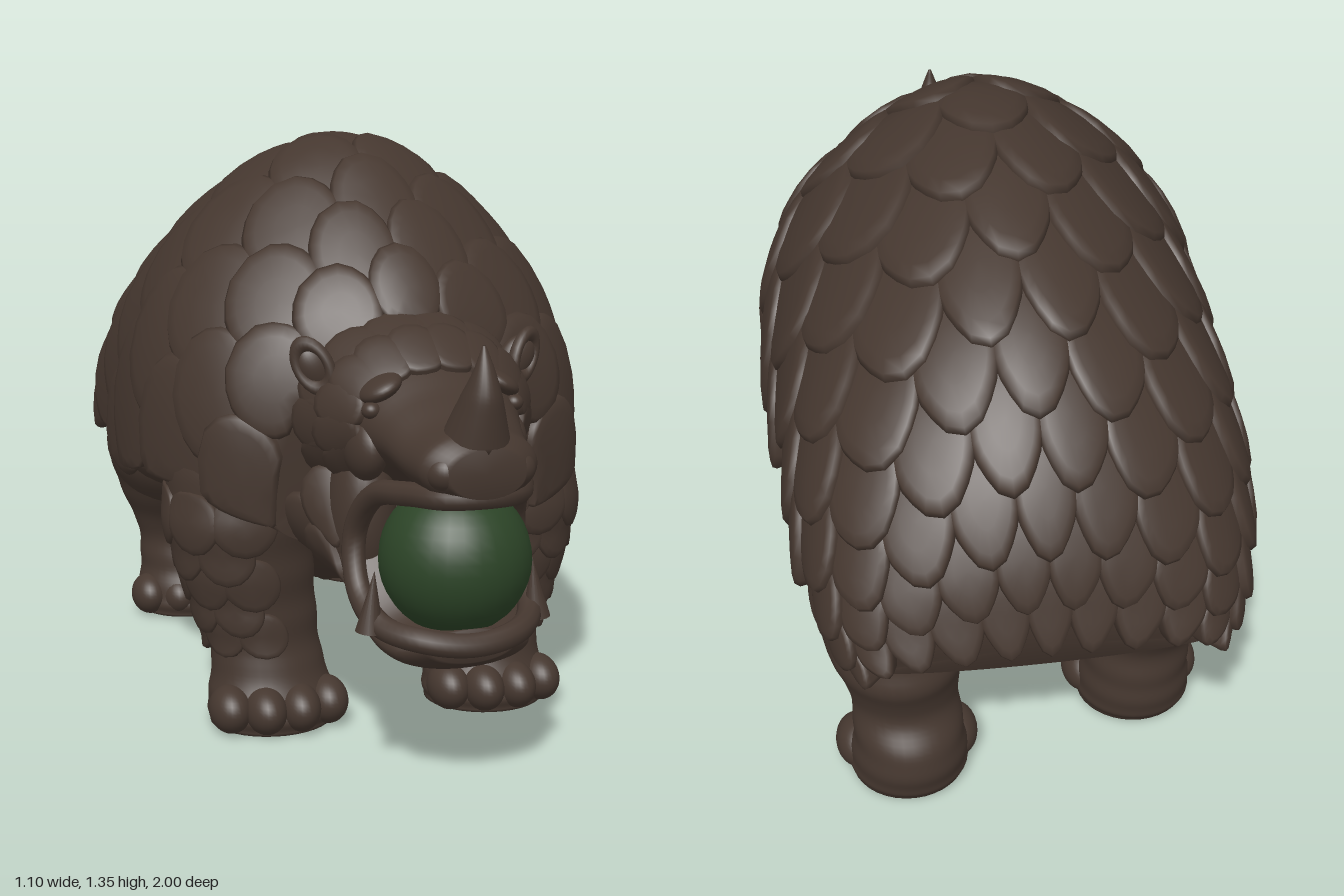
import * as THREE from 'three';
import { mergeGeometries, mergeVertices } from 'three/addons/utils/BufferGeometryUtils.js';

const V = (x, y, z) => new THREE.Vector3(x, y, z);
const spline = (pts) => new THREE.CatmullRomCurve3(pts);

// Smooth grid from a point function; closed seams are welded
function grid(fn, nu, nv) {
  const pos = [], idx = [];
  for (let i = 0; i <= nu; i++)
    for (let j = 0; j <= nv; j++) pos.push(...fn(i, j).toArray());
  for (let i = 0; i < nu; i++)
    for (let j = 0; j < nv; j++) {
      const a = i * (nv + 1) + j, c = a + nv + 1;
      idx.push(a, a + 1, c, a + 1, c + 1, c);
    }
  let g = new THREE.BufferGeometry();
  g.setAttribute('position', new THREE.Float32BufferAttribute(pos, 3));
  g.setIndex(idx);
  g = mergeVertices(g, 1e-5);
  g.computeVertexNormals();
  return g;
}

// Surface through elliptical sections [x, y, z, rx, r2]; axis 'y' runs down, axis 'z' runs forward
function loft(secs, axis, ripple = 0) {
  const c = spline(secs.map((s) => V(s[0], s[1], s[2])));
  const r = spline(secs.map((s) => V(s[3], s[4], 0)));
  return (u, v) => {
    const t = THREE.MathUtils.clamp(u, 0, 1), a = v * Math.PI * 2;
    const k = 1 + ripple * Math.sin(t * 50), p = c.getPoint(t), q = r.getPoint(t);
    const x = Math.cos(a) * q.x * k, o = Math.sin(a) * q.y * k;
    return axis === 'y' ? p.add(V(x, 0, o)) : p.add(V(x, o, 0));
  };
}

// Skin of a surface with both ends closed
function skin(surf, nu, nv, v0 = 0, v1 = 1) {
  const mid = (u) => surf(u, v0).add(surf(u, (v0 + v1) / 2)).multiplyScalar(0.5);
  return grid((i, j) => {
    if (i === 0) return mid(0);
    if (i === nu + 2) return mid(1);
    return surf((i - 1) / nu, v0 + ((v1 - v0) * j) / nv);
  }, nu + 2, nv);
}

// One raised overlapping scale on a surface, tip toward +u
function scale(surf, u, v, du, dv, lift, tip = 0.15) {
  const radii = [0, 0.4, 0.72, 0.9, 0.98, 1], edge = [1, 1, 0.98, 0.9, 0.65, 0], e = 0.008;
  return grid((i, j) => {
    const th = (j / 20) * Math.PI * 2, r = radii[i], c = Math.cos(th), s = Math.sin(th);
    const along = r * (c + tip * Math.max(0, c) ** 8);
    const across = r * Math.sign(s) * Math.abs(s) ** 0.75;
    const pu = u + du * along, pv = v + dv * across, p = surf(pu, pv);
    const n = surf(pu, pv + e).sub(surf(pu, pv - e))
      .cross(surf(pu + e, pv).sub(surf(pu - e, pv))).normalize();
    const h = i === 5 ? -0.012 : lift * edge[i] * (0.3 + 0.7 * (along + 1) / 2);
    return p.addScaledVector(n, h);
  }, 5, 20);
}

export function createModel() {
  const hide = new THREE.MeshStandardMaterial({ color: 0x45372f, side: THREE.DoubleSide });
  hide.name = 'brownHide';
  const green = new THREE.MeshStandardMaterial({ color: 0x2c4427 });
  green.name = 'greenBall';
  const model = new THREE.Group();
  model.name = 'armouredBeast';
  const add = (name, geo, mat = hide) => {
    const m = new THREE.Mesh(geo, mat);
    m.name = name;
    model.add(m);
    return m;
  };
  const blob = (name, x, y, z, rx, ry, rz, mat) => {
    const m = add(name, new THREE.SphereGeometry(1, 28, 20), mat);
    m.position.set(x, y, z);
    m.scale.set(rx, ry, rz);
    return m;
  };

  // Back: arches given by [half width, top y, top z, under depth, base y, base z]
  const arches = [
    [0.3, 0.96, 0.535, 0.08, 0.52, 0.49], [0.4, 1.055, 0.43, 0.1, 0.57, 0.41],
    [0.475, 1.195, 0.25, 0.12, 0.6, 0.26], [0.515, 1.305, 0.05, 0.12, 0.57, 0.06],
    [0.51, 1.29, -0.2, 0.12, 0.54, -0.17], [0.495, 1.2, -0.45, 0.12, 0.57, -0.4],
    [0.485, 1.065, -0.68, 0.12, 0.56, -0.61], [0.46, 0.895, -0.835, 0.1, 0.5, -0.77],
    [0.42, 0.71, -0.925, 0.06, 0.46, -0.87], [0.37, 0.55, -0.955, 0.03, 0.44, -0.92],
  ];
  const tops = spline(arches.map((a) => V(a[0], a[1], a[2])));
  const bases = spline(arches.map((a) => V(a[3], a[4], a[5])));
  const arch = (u, v) => {
    const A = tops.getPoint(u), B = bases.getPoint(u);
    const a = (v * Math.PI) / 2, c = Math.cos(a);
    if (c < 0) return V(A.x * Math.sin(a), B.y + B.x * c, B.z);
    // Full flanks below a slightly peaked ridge
    const h = c ** 0.85;
    return V(A.x * Math.sin(a) * (1 - 0.25 * h ** 4), B.y + (A.y - B.y) * h, B.z + (A.z - B.z) * h);
  };
  // Tips may run on past the last arch
  const back = (u, v) => {
    if (u <= 1) return arch(Math.max(u, 0), v);
    const end = arch(1, v);
    return end.clone().addScaledVector(end.clone().sub(arch(0.97, v)), (u - 1) / 0.03);
  };
  add('body', skin(arch, 40, 56, -2, 2));
  blob('belly', 0, 0.6, -0.12, 0.46, 0.37, 0.6);

  // Overlapping rows of back scales, finer toward the rump
  const plates = [], rows = 13;
  for (let r = 0; r < rows; r++) {
    const f = r / (rows - 1), u = 0.06 + 0.9 * f;
    const step = 2 / (6.4 + 4 * f * f), off = r % 2 ? step / 2 : 0;
    for (let k = -7; k <= 7; k++) {
      const v = k * step + off;
      if (Math.abs(v) > 1.04) continue;
      plates.push(scale(back, u, v, 0.078 - 0.018 * f, step * 0.57, 0.045, 0.1 + 0.25 * f));
    }
  }
  add('backScales', mergeGeometries(plates));

  // Head, throat and lower jaw
  const head = loft([
    [0, 0.78, 0.36, 0.26, 0.2], [0, 0.765, 0.5, 0.24, 0.185], [0, 0.765, 0.6, 0.215, 0.165],
    [0, 0.77, 0.69, 0.185, 0.125], [0, 0.755, 0.78, 0.155, 0.09], [0, 0.73, 0.87, 0.135, 0.08],
    [0, 0.725, 0.94, 0.125, 0.075], [0, 0.72, 0.99, 0.08, 0.05]], 'z');
  add('head', skin(head, 36, 40));
  const jaw = loft([
    [0, 0.58, 0.34, 0.27, 0.18], [0, 0.57, 0.5, 0.24, 0.17], [0, 0.53, 0.6, 0.21, 0.145],
    [0, 0.42, 0.69, 0.19, 0.085], [0, 0.345, 0.78, 0.175, 0.06], [0, 0.33, 0.86, 0.15, 0.05],
    [0, 0.345, 0.915, 0.09, 0.035]], 'z');
  add('lowerJaw', skin(jaw, 32, 40));
  const lip = [
    [0, 0.67, 0.965], [0.075, 0.668, 0.945], [0.125, 0.66, 0.86], [0.16, 0.635, 0.76],
    [0.18, 0.54, 0.69], [0.185, 0.43, 0.73], [0.165, 0.375, 0.82], [0.1, 0.36, 0.9], [0, 0.35, 0.925]];
  const rim = lip.concat(lip.slice(1, -1).reverse().map(([x, y, z]) => [-x, y, z]));
  add('lips', new THREE.TubeGeometry(
    new THREE.CatmullRomCurve3(rim.map((p) => V(...p)), true), 96, 0.026, 10, true));
  blob('ball', 0, 0.505, 0.81, 0.16, 0.16, 0.16, green);

  // Nose horn, swept slightly forward
  add('horn', skin(loft([
    [0, 0.97, 0.957, 0.004, 0.004], [0, 0.92, 0.96, 0.022, 0.024], [0, 0.87, 0.948, 0.04, 0.05],
    [0, 0.82, 0.93, 0.056, 0.066], [0, 0.76, 0.91, 0.075, 0.08]], 'y'), 20, 24));

  // Small scales on the cheeks, throat and crown, tips toward the back
  const frill = [];
  for (const [z, n, size] of [[0.32, 12, 0.05], [0.2, 10, 0.058]])
    for (let k = 0; k < n; k++) {
      const v = -0.08 + (k / (n - 1)) * 0.66;
      frill.push(scale(head, z + 0.06, v, -0.1, -size, 0.04));
    }
  for (const side of [0, 0.5])
    for (const [u, d] of [[0.22, -0.04], [0.32, 0.05], [0.34, -0.06]])
      frill.push(scale(jaw, u, side + (side ? -d : d), -0.1, -0.065, 0.045));
  add('neckScales', mergeGeometries(frill));

  for (const s of [1, -1]) {
    // Face details
    blob('brow', s * 0.13, 0.85, 0.7, 0.05, 0.024, 0.06).rotation.z = -s * 0.5;
    blob('eye', s * 0.158, 0.808, 0.73, 0.02, 0.018, 0.022);
    blob('cheek', s * 0.155, 0.72, 0.68, 0.045, 0.07, 0.08);
    blob('mouthCorner', s * 0.14, 0.56, 0.605, 0.075, 0.17, 0.095);
    blob('nostril', s * 0.07, 0.72, 0.945, 0.045, 0.04, 0.045);
    const ear = add('earRim', new THREE.TorusGeometry(0.04, 0.014, 10, 24));
    ear.position.set(s * 0.24, 0.88, 0.585);
    ear.scale.set(0.85, 1.3, 1);
    ear.rotation.set(0, s * 0.6, -s * 0.55);
    blob('ear', s * 0.228, 0.872, 0.565, 0.04, 0.056, 0.028).rotation.z = -s * 0.55;
    const tusk = add('tusk', new THREE.ConeGeometry(0.03, 0.13, 16));
    tusk.position.set(s * 0.18, 0.425, 0.81);
    tusk.rotation.z = s * 0.08;

    // Front leg
    const front = loft([
      [s * 0.29, 0.76, 0.2, 0.12, 0.14], [s * 0.315, 0.64, 0.23, 0.175, 0.19],
      [s * 0.325, 0.51, 0.26, 0.17, 0.17], [s * 0.315, 0.39, 0.275, 0.155, 0.14],
      [s * 0.295, 0.28, 0.28, 0.14, 0.118], [s * 0.275, 0.18, 0.285, 0.128, 0.11],
      [s * 0.268, 0.1, 0.295, 0.14, 0.125], [s * 0.266, 0.04, 0.305, 0.15, 0.14],
      [s * 0.266, 0, 0.305, 0.145, 0.135]], 'y', 0.012);
    add('frontLeg', skin(front, 56, 36));

    // Hind leg, the left one stepping further back
    const k = s > 0 ? -0.165 : 0;
    const hind = loft([
      [s * 0.27, 0.68, -0.56, 0.16, 0.2], [s * 0.29, 0.54, -0.59, 0.19, 0.24],
      [s * 0.3, 0.42, -0.6 + k * 0.3, 0.18, 0.22], [s * 0.295, 0.32, -0.62 + k * 0.6, 0.15, 0.17],
      [s * 0.285, 0.22, -0.62 + k * 0.75, 0.122, 0.12], [s * 0.28, 0.13, -0.615 + k, 0.125, 0.13],
      [s * 0.28, 0.05, -0.6 + k, 0.135, 0.14], [s * 0.28, 0.005, -0.59 + k, 0.13, 0.125]], 'y', 0.012);
    add('hindLeg', skin(hind, 56, 36));
    blob('thigh', s * 0.3, 0.49, -0.56, 0.2, 0.18, 0.235);

    // Toes
    for (const [name, x, z] of [['frontToe', 0.266, 0.405], ['hindToe', 0.28, -0.53 + k]])
      [-0.115, -0.04, 0.04, 0.115].forEach((d, i) => {
        const inner = i === 1 || i === 2;
        blob(name, s * x + d, 0.055, z - (inner ? 0 : 0.03), 0.049, 0.055, inner ? 0.075 : 0.07);
      });

    // Scales on the outer front of the legs
    const guard = [], mid = s > 0 ? 0.1 : 0.4;
    for (let r = 0; r < 5; r++)
      for (const d of [-0.12, 0, 0.12])
        guard.push(scale(front, 0.26 + r * 0.075, mid + d + (r % 2) * 0.05, 0.065, 0.072, 0.022, 0.2));
    add('legScales', mergeGeometries(guard));
  }
  return model;
}
